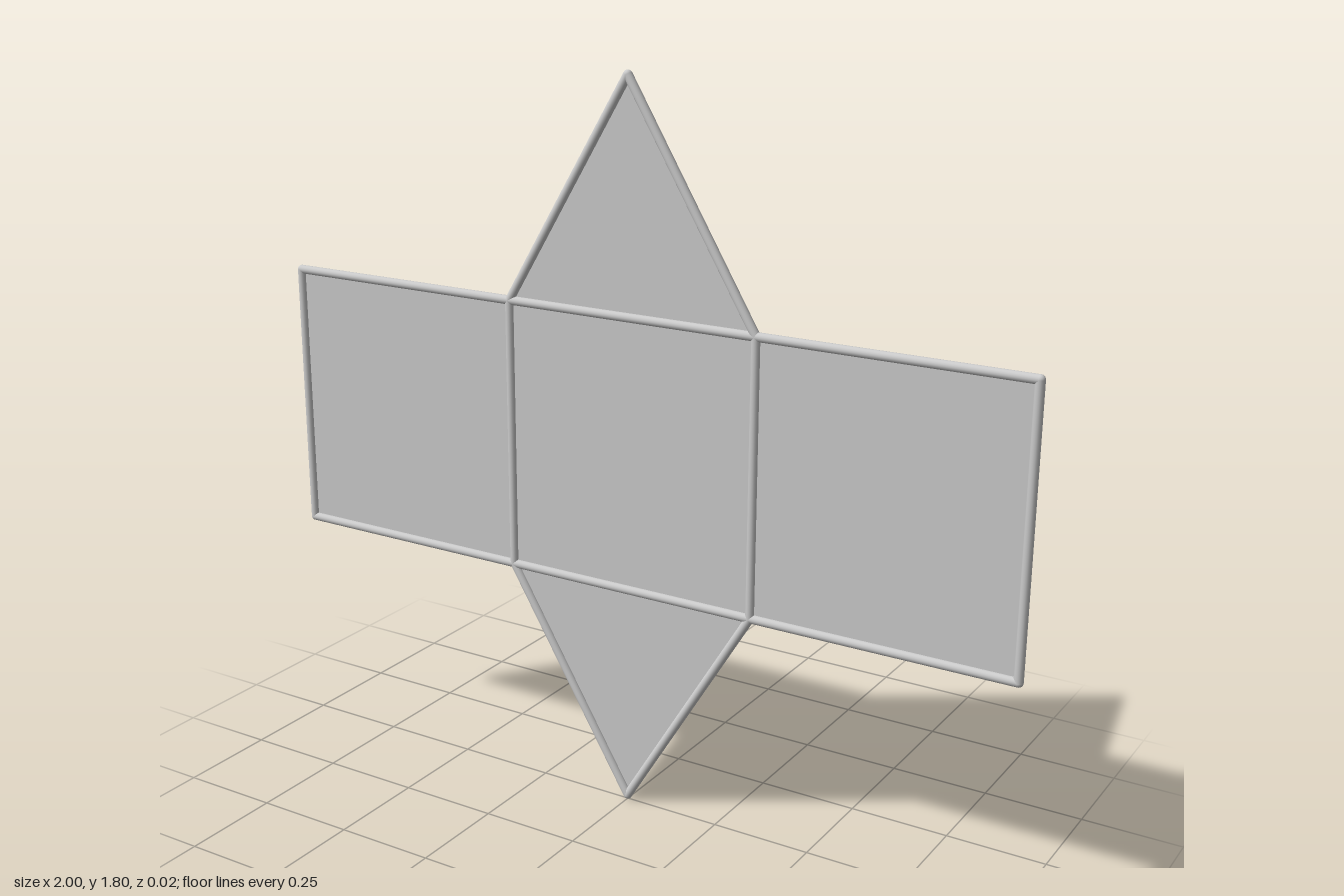
import * as THREE from 'three';

export function createModel() {
  const group = new THREE.Group();
  const R = 0.011;
  const rodMat = new THREE.MeshStandardMaterial({ color: 0xcccccc });
  const panelMat = new THREE.MeshStandardMaterial({ color: 0xcccccc, side: THREE.DoubleSide });

  // Corners of the unfolded prism
  const xo = 0.988, xi = 0.334, yb = 0.564, yt = 1.238;
  const P = {
    a: [-xo, yb], b: [-xi, yb], c: [xi, yb], d: [xo, yb],
    e: [-xo, yt], f: [-xi, yt], g: [xi, yt], h: [xo, yt],
    top: [0, 1.789], bottom: [0, 0.012],
  };

  // Thin flat faces
  const panel = (name, keys) => {
    const shape = new THREE.Shape(keys.map(k => new THREE.Vector2(...P[k])));
    const mesh = new THREE.Mesh(new THREE.ShapeGeometry(shape), panelMat);
    mesh.name = name;
    group.add(mesh);
  };
  panel('rightPanel', ['a', 'b', 'f', 'e']);
  panel('centrePanel', ['b', 'c', 'g', 'f']);
  panel('leftPanel', ['c', 'd', 'h', 'g']);
  panel('topTriangle', ['f', 'g', 'top']);
  panel('bottomTriangle', ['b', 'bottom', 'c']);

  // Round rods along every edge and fold
  const rod = (from, to) => {
    const p = new THREE.Vector3(...P[from], 0), q = new THREE.Vector3(...P[to], 0);
    const dir = q.clone().sub(p);
    const mesh = new THREE.Mesh(new THREE.CylinderGeometry(R, R, dir.length(), 16), rodMat);
    mesh.position.copy(p).add(q).multiplyScalar(0.5);
    mesh.quaternion.setFromUnitVectors(new THREE.Vector3(0, 1, 0), dir.normalize());
    mesh.name = 'edgeRod';
    group.add(mesh);
  };
  ['ab', 'bc', 'cd', 'ef', 'fg', 'gh', 'ae', 'bf', 'cg', 'dh'].forEach(s => rod(s[0], s[1]));
  for (const k of ['f', 'g']) rod(k, 'top');
  for (const k of ['b', 'c']) rod(k, 'bottom');

  // Rounded corner joints
  for (const [x, y] of Object.values(P)) {
    const joint = new THREE.Mesh(new THREE.SphereGeometry(R, 16, 12), rodMat);
    joint.position.set(x, y, 0);
    joint.name = 'cornerJoint';
    group.add(joint);
  }
  return group;
}
